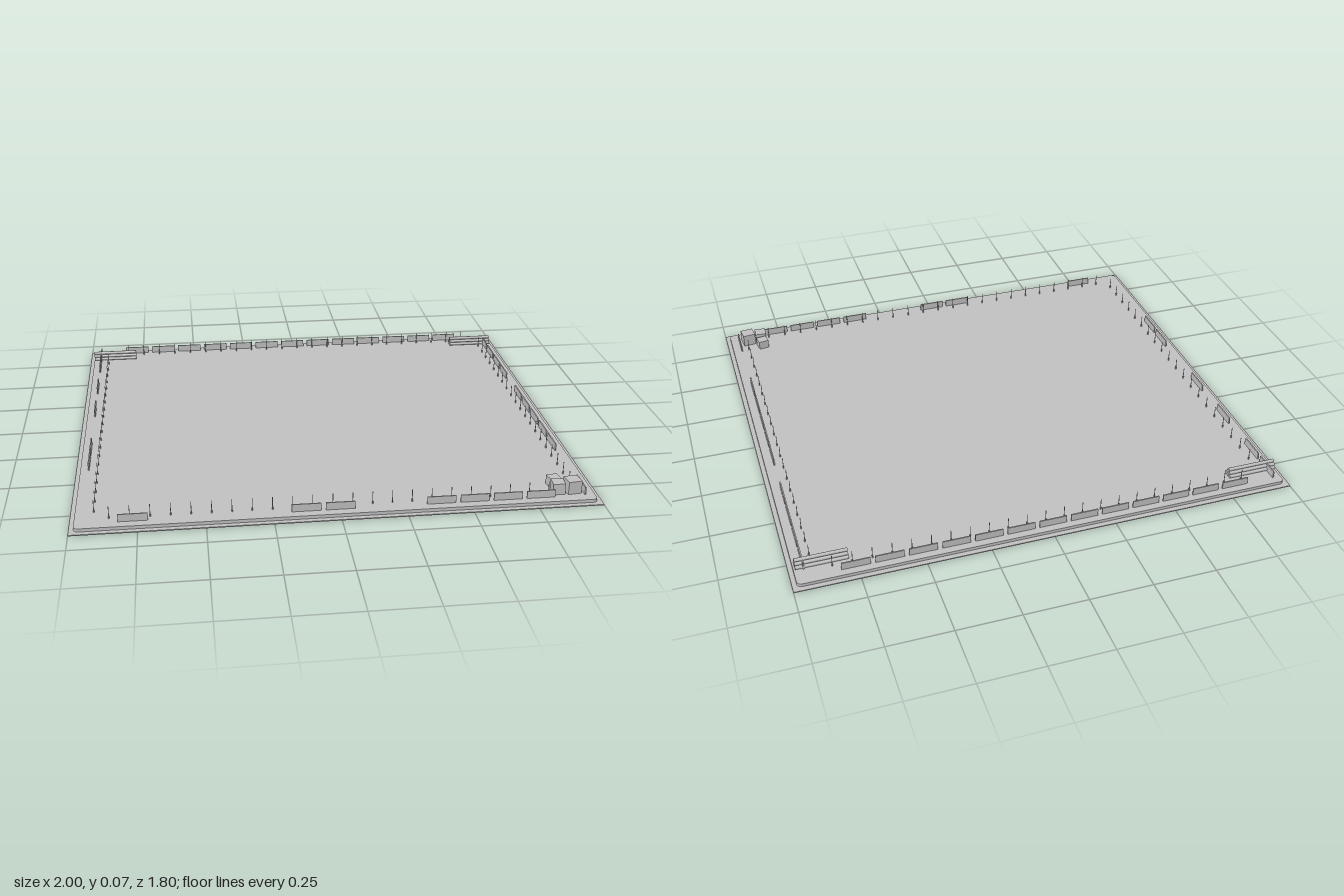
import * as THREE from 'three';

const PITCH = 0.128; // spacing of fence panels
const FLOOR = 0.017; // top of the slab

export function createModel() {
  const model = new THREE.Group();
  model.name = 'fencedSite';
  const grey = new THREE.MeshStandardMaterial({ color: 0xc0c0c0 });
  grey.name = 'plain grey';

  const add = (name, geometry, x, y, z, parent = model) => {
    const mesh = new THREE.Mesh(geometry, grey);
    mesh.name = name;
    mesh.position.set(x, y, z);
    parent.add(mesh);
    return mesh;
  };

  // Thin ground sheet
  add('groundSheet', new THREE.BoxGeometry(2, 0.004, 1.8), 0, 0.002, 0);

  // Slab with small rounded corners
  const w = 0.982, d = 0.88, r = 0.018;
  const outline = new THREE.Shape();
  outline.absarc(w - r, d - r, r, 0, Math.PI / 2);
  outline.absarc(-w + r, d - r, r, Math.PI / 2, Math.PI);
  outline.absarc(-w + r, -d + r, r, Math.PI, Math.PI * 1.5);
  outline.absarc(w - r, -d + r, r, Math.PI * 1.5, Math.PI * 2);
  const slab = new THREE.ExtrudeGeometry(outline, { depth: FLOOR - 0.004, bevelEnabled: false, curveSegments: 4 });
  slab.rotateX(-Math.PI / 2);
  add('slab', slab, 0, 0.004, 0);

  // Fence panels: each row lists the slots that still hold a panel
  const panelHeight = 0.03;
  const alongX = new THREE.BoxGeometry(0.11, panelHeight, 0.005);
  const alongZ = new THREE.BoxGeometry(0.005, panelHeight, 0.11);
  const panelY = FLOOR + panelHeight / 2;
  const fence = new THREE.Group();
  fence.name = 'fence';
  model.add(fence);
  for (let i = 0; i < 13; i++) add('backPanel', alongX, -0.778 + PITCH * i, panelY, -0.848, fence);
  for (const i of [0, 5, 6, 9, 10, 11, 12]) add('frontPanel', alongX, -0.767 + PITCH * i, panelY, 0.842, fence);
  for (const i of [0, 1, 3, 5, 8, 9]) add('rightPanel', alongZ, -0.949, panelY, -0.794 + PITCH * i, fence);
  for (const i of [0, 1, 2, 3, 5, 6, 7, 8, 9, 12]) add('leftPanel', alongZ, 0.944, panelY, -0.751 + PITCH * i, fence);

  // Slim stakes with thicker feet just inside the fence
  const stakeHeight = 0.051;
  const stakeGeometry = new THREE.CylinderGeometry(0.0014, 0.0014, stakeHeight, 6);
  const footGeometry = new THREE.CylinderGeometry(0.0028, 0.0028, 0.012, 6);
  const stakes = new THREE.Group();
  stakes.name = 'stakes';
  model.add(stakes);
  const stake = (x, z) => {
    add('stake', stakeGeometry, x, FLOOR + stakeHeight / 2, z, stakes);
    add('stakeFoot', footGeometry, x, FLOOR + 0.006, z, stakes);
  };
  for (let i = 0; i < 23; i++) {
    stake(-0.855 + 0.0755 * i, 0.815);
    stake(-0.82 + 0.0755 * i, -0.82);
  }
  for (let i = 0; i < 20; i++) {
    stake(-0.912, 0.762 - 0.0775 * i);
    stake(0.912, 0.737 - 0.0775 * i);
  }

  // Pyramid piles of pipes in the back corners
  const pipeRadius = 0.0071;
  const pipe = new THREE.CylinderGeometry(pipeRadius, pipeRadius, 0.2, 10);
  pipe.rotateZ(Math.PI / 2);
  for (const [name, x] of [['rightPipePile', -0.881], ['leftPipePile', 0.875]]) {
    const pile = new THREE.Group();
    pile.name = name;
    pile.position.set(x, FLOOR, -0.783);
    model.add(pile);
    for (let row = 0; row < 3; row++) {
      for (let i = 0; i < 3 - row; i++) {
        add('pipe', pipe, 0, pipeRadius * (1 + Math.sqrt(3) * row), pipeRadius * (2 * i + row - 2), pile);
      }
    }
  }

  // Crates in the front left corner: x, z, width, height, turn
  const crates = [
    [0.845, 0.749, 0.044, 0.037, 0.17],
    [0.845, 0.805, 0.048, 0.045, -0.05],
    [0.903, 0.803, 0.054, 0.052, 0.12],
  ];
  for (const [x, z, size, height, turn] of crates) {
    add('crate', new THREE.BoxGeometry(size, height, size), x, FLOOR + height / 2, z).rotation.y = turn;
  }

  return model;
}
